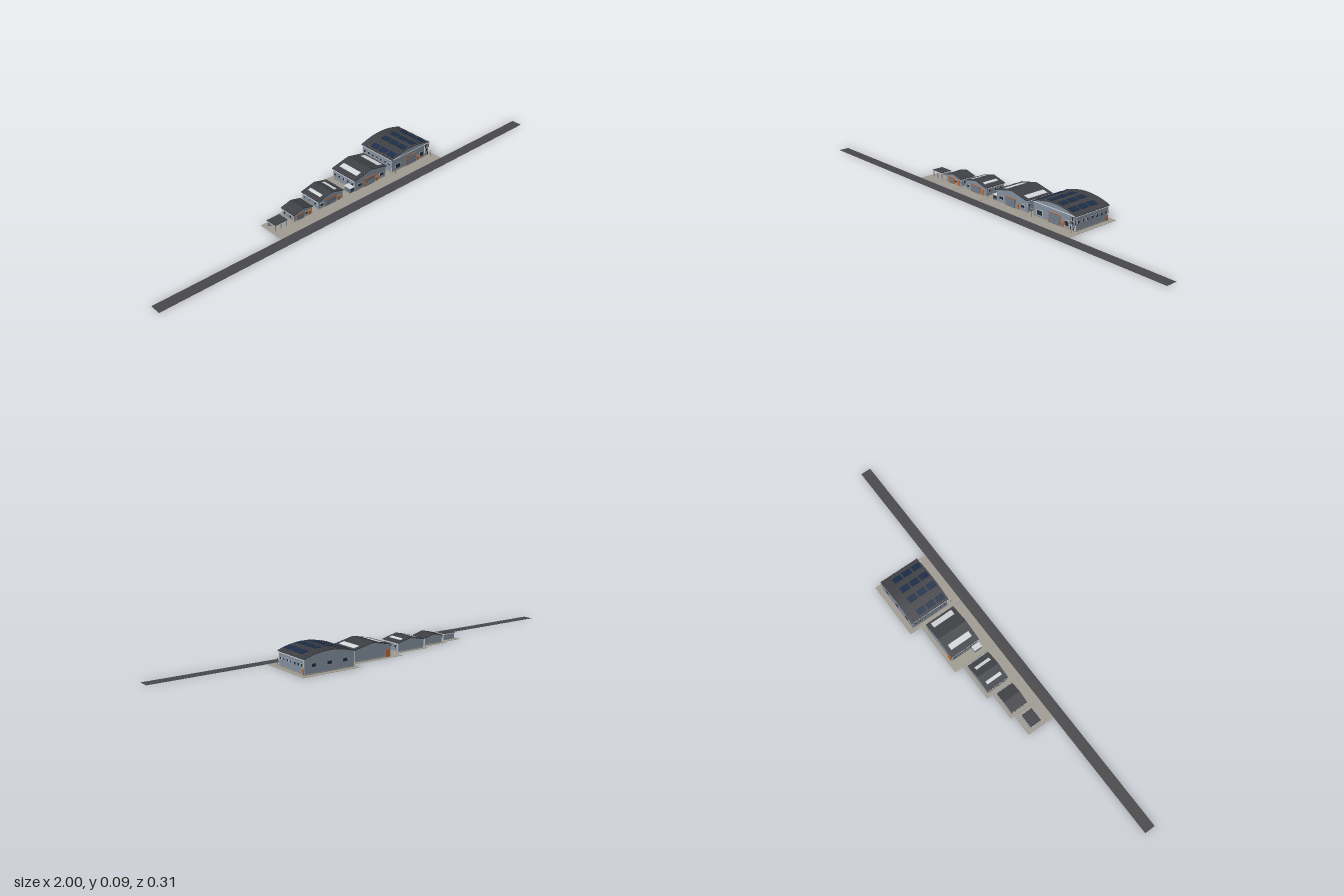
import * as THREE from 'three';

const paint = (name, color) => {
  const m = new THREE.MeshStandardMaterial({ color });
  m.name = name;
  return m;
};

export function createModel() {
  const M = {
    wall: paint('steelWall', 0x84909f), roof: paint('darkRoof', 0x424348),
    road: paint('asphalt', 0x48474b), slab: paint('concrete', 0xa09c92),
    trim: paint('lightTrim', 0xd4d8da), orange: paint('orange', 0xc0672c),
    glass: paint('darkGlass', 0x252d38), solar: paint('solarBlue', 0x1b2d48),
    door: paint('doorGrey', 0x69727e),
  };
  const root = new THREE.Group();
  root.name = 'industrialRow';

  // Box given by its lower and upper corners
  const box = (parent, name, mat, x0, x1, y0, y1, z0, z1) => {
    const mesh = new THREE.Mesh(new THREE.BoxGeometry(x1 - x0, y1 - y0, z1 - z0), mat);
    mesh.position.set((x0 + x1) / 2, (y0 + y1) / 2, (z0 + z1) / 2);
    mesh.name = name;
    parent.add(mesh);
    return mesh;
  };
  // Polygon in x,y pushed from z0 to z1
  const prism = (parent, name, mat, pts, z0, z1) => {
    const shape = new THREE.Shape(pts.map(p => new THREE.Vector2(p[0], p[1])));
    const mesh = new THREE.Mesh(
      new THREE.ExtrudeGeometry(shape, { depth: z1 - z0, bevelEnabled: false }), mat);
    mesh.position.z = z0;
    mesh.name = name;
    parent.add(mesh);
  };

  // Road and yard slabs
  box(root, 'road', M.road, -1, 1, 0, 0.001, 0.108, 0.156);
  [[-0.413, -0.317, -0.02], [-0.315, -0.193, -0.037], [-0.19, -0.022, -0.064],
    [-0.018, 0.228, -0.103], [0.232, 0.498, -0.156]].forEach(([a, b, z]) =>
    box(root, 'yardSlab', M.slab, a, b, 0, 0.001, z, 0.107));

  const F = 0.05; // shared front wall line

  const frontWindow = (g, x, w, y0, y1) => {
    box(g, 'windowFrame', M.trim, x - w / 2 - 0.002, x + w / 2 + 0.002, y0 - 0.002, y1 + 0.002, F, F + 0.001);
    box(g, 'windowPane', M.glass, x - w / 2, x + w / 2, y0, y1, F, F + 0.002);
  };

  // Hall with a gabled or arched roof
  const hall = ({ name, x0, x1, zb, eave, rise, arch, gate, entry, wins, sideY, sideN }) => {
    const g = new THREE.Group();
    g.name = name;
    root.add(g);
    const cx = (x0 + x1) / 2, hw = (x1 - x0) / 2, n = arch ? 16 : 2;
    const line = (over, dy) => Array.from({ length: n + 1 }, (_, i) => {
      const t = -1 + 2 * i / n;
      return [cx + t * (hw + over), eave + dy + rise * (arch ? 1 - t * t : 1 - Math.abs(t))];
    });
    const band = (over, lo, hi) => [...line(over, lo), ...line(over, hi).reverse()];

    // Shell, plinth and roof
    prism(g, 'walls', M.wall, [[x1, 0.001], [x0, 0.001], ...line(0, 0)].reverse(), zb, F);
    box(g, 'plinth', M.slab, x0 - 0.001, x1 + 0.001, 0.001, 0.005, zb - 0.001, F + 0.001);
    prism(g, 'roof', M.roof, band(0.003, 0, 0.003), zb - 0.003, F + 0.003);
    const seams = Math.round((F - zb) / 0.011);
    for (let i = 0; i <= seams; i++) {
      const z = zb - 0.002 + (F - zb + 0.003) * i / seams;
      prism(g, 'roofSeam', M.roof, band(0.0035, 0.003, 0.0042), z, z + 0.001);
    }
    for (const s of [-1, 1]) {
      const e = cx + s * (hw + 0.002);
      box(g, 'gutter', M.trim, e - 0.002, e + 0.002, eave - 0.003, eave, zb, F);
      // Corner downpipes
      for (const z of [zb + 0.002, F - 0.003])
        box(g, 'downpipe', M.trim, cx + s * hw - 0.001, cx + s * hw + 0.001, 0.004, eave, z, z + 0.0015);
      // Side windows
      for (let i = 0; i < sideN; i++) {
        const z = F - (F - zb) * (i + 0.6) / (sideN + 0.2), e2 = cx + s * hw;
        box(g, 'sideWindowFrame', M.trim, e2 - 0.001, e2 + 0.001, sideY - 0.006, sideY + 0.006, z - 0.005, z + 0.005);
        for (const d of [-0.0022, 0.0022])
          box(g, 'sidePane', M.glass, e2 - 0.002, e2 + 0.002, sideY - 0.005, sideY + 0.005, z + d - 0.0016, z + d + 0.0016);
      }
    }

    // Vehicle gate with orange surround and slats
    const [a, b, h] = gate;
    box(g, 'gateSurround', M.orange, a - 0.003, b + 0.003, 0.001, h + 0.003, F, F + 0.002);
    box(g, 'gate', M.door, a, b, 0.001, h, F, F + 0.003);
    for (let y = 0.006; y < h - 0.002; y += 0.006)
      box(g, 'gateSlat', M.wall, a, b, y, y + 0.001, F, F + 0.0038);

    // Staff door with canopy
    box(g, 'staffDoor', M.orange, entry - 0.005, entry + 0.005, 0.001, 0.021, F, F + 0.002);
    box(g, 'canopy', M.orange, entry - 0.007, entry + 0.007, 0.023, 0.0245, F, F + 0.009);
    wins.forEach(([x, w, y0, y1]) => frontWindow(g, x, w, y0, y1));
    return { g, line, cx, hw, eave, rise };
  };

  // Translucent strip following a gable slope
  const skylight = (H, x, w, z0, z1) => {
    const y = q => H.eave + 0.0035 + H.rise * (1 - Math.abs(q - H.cx) / H.hw);
    const l = x - w / 2, r = x + w / 2;
    prism(H.g, 'skylight', M.trim, [[l, y(l)], [r, y(r)], [r, y(r) + 0.002], [l, y(l) + 0.002]], z0, z1);
  };

  // Open shelter
  const shelter = new THREE.Group();
  shelter.name = 'shelter';
  root.add(shelter);
  box(shelter, 'shelterRoof', M.roof, -0.399, -0.335, 0.027, 0.03, 0, 0.053);
  box(shelter, 'shelterFascia', M.trim, -0.4, -0.334, 0.0255, 0.0285, -0.001, 0.054);
  box(shelter, 'shelterBackWall', M.wall, -0.396, -0.338, 0.001, 0.0255, 0.002, 0.005);
  for (const x of [-0.397, -0.369, -0.34])
    for (const z of [0.003, 0.048]) box(shelter, 'post', M.wall, x, x + 0.003, 0.001, 0.0255, z, z + 0.003);
  box(shelter, 'bench', M.door, -0.39, -0.344, 0.006, 0.009, 0.006, 0.016);

  // Three gabled halls
  hall({ name: 'smallHall', x0: -0.302, x1: -0.206, zb: -0.023, eave: 0.031, rise: 0.013,
    gate: [-0.284, -0.25, 0.024], entry: -0.22, wins: [[-0.237, 0.01, 0.012, 0.021]], sideY: 0.019, sideN: 2 });
  const mid = hall({ name: 'mediumHall', x0: -0.172, x1: -0.04, zb: -0.05, eave: 0.037, rise: 0.017,
    gate: [-0.132, -0.08, 0.03], entry: -0.062, wins: [[-0.154, 0.016, 0.013, 0.023]], sideY: 0.023, sideN: 3 });
  for (const x of [-0.145, -0.068]) skylight(mid, x, 0.014, -0.036, 0.038);
  const big = hall({ name: 'largeHall', x0: 0.03, x1: 0.208, zb: -0.086, eave: 0.05, rise: 0.02,
    gate: [0.085, 0.14, 0.036], entry: 0.157, wins: [[0.056, 0.02, 0.016, 0.028], [0.186, 0.02, 0.016, 0.028]],
    sideY: 0.03, sideN: 5 });
  for (const x of [0.066, 0.189]) skylight(big, x, 0.025, -0.07, 0.035);
  box(big.g, 'rearDoor', M.orange, 0.036, 0.056, 0.001, 0.032, -0.089, -0.086);

  // Lean-to beside the large hall
  box(root, 'leanTo', M.door, 0.004, 0.03, 0.001, 0.023, 0.015, 0.049);
  box(root, 'leanToRoof', M.trim, 0.002, 0.027, 0.023, 0.025, 0.013, 0.051);
  box(root, 'leanToWindow', M.glass, 0.008, 0.025, 0.009, 0.019, 0.049, 0.05);

  // Arched main hall
  const main = hall({ name: 'mainHall', x0: 0.248, x1: 0.476, zb: -0.133, eave: 0.062, rise: 0.022, arch: true,
    gate: [0.335, 0.393, 0.042], entry: 0.408, wins: [[0.282, 0.028, 0.013, 0.032], [0.43, 0.02, 0.013, 0.032]],
    sideY: 0.038, sideN: 7 });
  box(main.g, 'frontBand', M.trim, 0.248, 0.476, 0.061, 0.0635, F, F + 0.002);
  box(main.g, 'cornerGlazing', M.glass, 0.45, 0.475, 0.006, 0.058, F, F + 0.002);
  for (let i = 0; i < 4; i++)
    box(main.g, 'mullion', M.trim, 0.449 + i * 0.008, 0.451 + i * 0.008, 0.006, 0.058, F, F + 0.003);
  for (const y of [0.022, 0.04]) box(main.g, 'transom', M.trim, 0.45, 0.475, y, y + 0.0015, F, F + 0.003);
  box(main.g, 'sideDoor', M.orange, 0.475, 0.478, 0.001, 0.024, -0.13, -0.12);
  for (const x of [0.29, 0.362, 0.434])
    box(main.g, 'rearWindow', M.glass, x - 0.009, x + 0.009, 0.03, 0.042, -0.135, -0.133);

  // Solar panels laid along the arch
  for (const x of [0.268, 0.331, 0.386, 0.443]) {
    const t = (x - main.cx) / main.hw;
    for (let r = 0; r < 3; r++) {
      const z = 0.025 - r * 0.048;
      const p = box(main.g, 'solarPanel', M.solar, -0.014, 0.014, 0, 0.002, z - 0.02, z + 0.02);
      p.position.set(x, main.eave + main.rise * (1 - t * t) + 0.0055, z);
      p.rotation.z = Math.atan(-2 * main.rise * t / main.hw);
    }
  }

  // Slim lamp posts in front of the main hall
  for (const x of [0.252, 0.472]) {
    box(root, 'lampPost', M.door, x, x + 0.0015, 0.001, 0.034, 0.065, 0.0665);
    box(root, 'lampHead', M.trim, x - 0.002, x + 0.0035, 0.034, 0.0355, 0.064, 0.0675);
  }
  return root;
}
